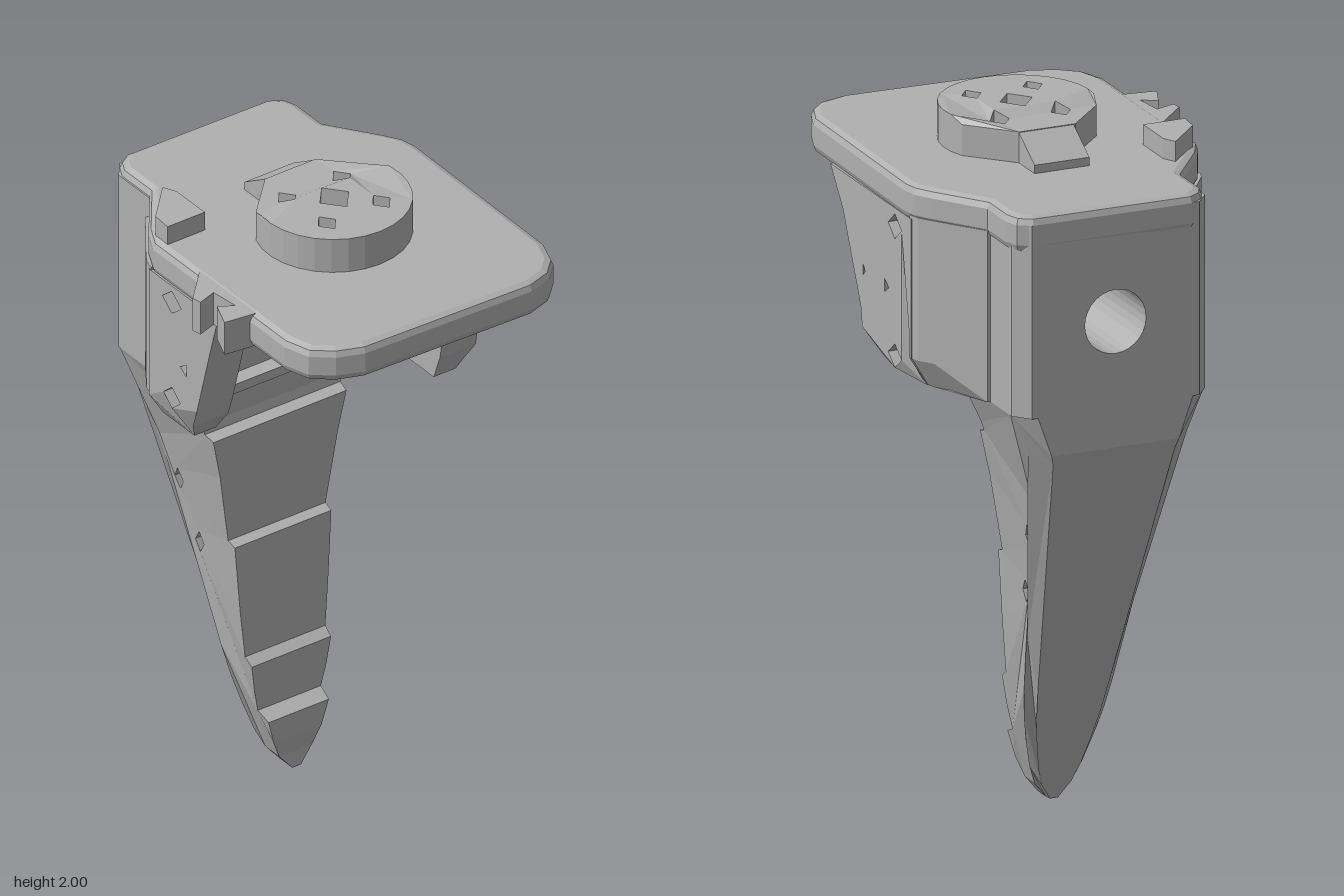
import * as THREE from 'three';

const CX = 0.035; // symmetry line of the bracket
const mirror = (pts) => pts.map(([x, z]) => [2 * CX - x, z]);
const diamond = (u, v, ru, rv) => [[u - ru, v], [u, v + rv], [u + ru, v], [u, v - rv]];

function makeShape(pts, holes, map) {
  const toV = (list) => list.map((p) => new THREE.Vector2(...map(p)));
  const shape = new THREE.Shape(toV(pts));
  for (const h of holes) shape.holes.push(new THREE.Path(toV(h)));
  return shape;
}

// Outline in (x, z), raised from y0 to y1
function extrudeUp(pts, y0, y1, holes = [], { bevel = 0, steps = 1 } = {}) {
  const g = new THREE.ExtrudeGeometry(makeShape(pts, holes, ([x, z]) => [x, -z]), {
    depth: y1 - y0 - 2 * bevel, steps, bevelEnabled: bevel > 0, bevelSegments: 2,
    bevelSize: bevel, bevelThickness: bevel, bevelOffset: -bevel,
  });
  return g.rotateX(-Math.PI / 2).translate(0, y0 + bevel, 0);
}

// Outline in (z, y), extended from x0 to x1
function extrudeSide(pts, x0, x1, holes = []) {
  const g = new THREE.ExtrudeGeometry(makeShape(pts, holes, ([z, y]) => [-z, y]),
    { depth: x1 - x0, bevelEnabled: false });
  return g.rotateY(Math.PI / 2).translate(x0, 0, 0);
}

// Move every vertex by a rule, then refresh the flat normals
function deform(g, rule) {
  const p = g.attributes.position;
  const v = new THREE.Vector3();
  for (let i = 0; i < p.count; i++) {
    v.fromBufferAttribute(p, i);
    rule(v);
    p.setXYZ(i, v.x, v.y, v.z);
  }
  g.computeVertexNormals();
  return g;
}

export function createModel() {
  const model = new THREE.Group();
  model.name = 'fingerBracket';
  const grey = new THREE.MeshStandardMaterial({ color: 0xb0b0b0, flatShading: true });
  grey.name = 'plainGrey';
  const add = (name, geometry) => {
    const mesh = new THREE.Mesh(geometry, grey);
    mesh.name = name;
    model.add(mesh);
    return mesh;
  };

  // Bottle-shaped top plate with a seat for the hub
  const outline = [
    [-0.2, -0.615], [0.29, -0.61], [0.33, -0.585], [0.345, -0.54], [0.345, -0.42], [0.45, -0.27],
    [0.48, -0.22], [0.49, -0.17], [0.48, 0.46], [0.45, 0.54], [0.4, 0.59], [0.32, 0.615],
    [-0.25, 0.6], [-0.33, 0.57], [-0.39, 0.52], [-0.415, 0.44], [-0.415, -0.19],
    [-0.38, -0.26], [-0.26, -0.42], [-0.26, -0.55], [-0.24, -0.59],
  ];
  const seat = [];
  for (let i = 0; i < 20; i++) {
    const a = (i / 20) * Math.PI * 2;
    seat.push([CX + 0.15 * Math.cos(a), 0.055 + 0.15 * Math.sin(a)]);
  }
  add('topPlate', extrudeUp(outline, 1.78, 1.89, [seat], { bevel: 0.025 }));

  // Round hub with a tapering rear, pierced by five holes
  const hub = [];
  for (let i = 0; i <= 18; i++) {
    const a = THREE.MathUtils.degToRad(-22 + (i / 18) * 224);
    hub.push([CX + 0.225 * Math.cos(a), 0.055 + 0.225 * Math.sin(a)]);
  }
  hub.push([-0.05, -0.155], [0.125, -0.155]);
  const hubHoles = [diamond(CX, 0.06, 0.05, 0.06)];
  for (const x of [-0.06, 0.13]) {
    for (const z of [-0.035, 0.155]) hubHoles.push(diamond(x, z, 0.03, 0.038));
  }
  add('hub', deform(extrudeUp(hub, 1.781, 2, hubHoles), (v) => {
    if (v.y > 1.9 && v.z < -0.01) v.y = 1.982;
  }));

  // Sloping wedge behind the hub
  add('hubWedge', extrudeSide([[-0.14, 1.87], [-0.14, 1.982], [-0.155, 1.98], [-0.26, 1.915], [-0.26, 1.87]],
    -0.045, 0.125));

  // Broken clip remains on the right edge of the plate
  add('clipFin', extrudeUp([[-0.39, -0.155], [-0.385, -0.22], [-0.28, -0.33], [-0.26, -0.29], [-0.26, -0.155]],
    1.86, 1.95));
  add('clipHooks', extrudeUp([[-0.38, -0.01], [-0.495, 0.11], [-0.49, 0.14], [-0.43, 0.12], [-0.42, 0.21],
    [-0.465, 0.185], [-0.497, 0.265], [-0.38, 0.28]], 1.78, 1.888));

  // Rear block with a round bore running front to back
  const block = new THREE.Shape([[-0.265, 1.29], [0.335, 1.29], [0.335, 1.865], [-0.265, 1.865]]
    .map((p) => new THREE.Vector2(...p)));
  block.holes.push(new THREE.Path().absarc(CX, 1.545, 0.095, 0, Math.PI * 2, true));
  const blockGeo = new THREE.ExtrudeGeometry(block,
    { depth: 0.39, steps: 8, bevelEnabled: false, curveSegments: 14 }).translate(0, 0, -0.61);
  add('rearBlock', deform(blockGeo, (v) => {
    if (v.z < -0.6 && Math.abs(v.x - CX) > 0.2) v.x -= Math.sign(v.x - CX) * 0.04;
  }));
  add('frontLedge', new THREE.BoxGeometry(0.64, 0.03, 0.06).translate(CX, 1.305, -0.2));

  // Chamfered shoulders and pocketed side walls
  const pullIn = (v) => {
    if (v.y < 1.3 && Math.abs(v.x - CX) > 0.38) v.x -= Math.sign(v.x - CX) * 0.05;
  };
  const shoulder = [[0.3, -0.2], [0.485, -0.2], [0.475, -0.235], [0.445, -0.28], [0.345, -0.42], [0.3, -0.42]];
  const walls = {
    left: [[0.335, 1.79], [0.25, 1.68], [0.13, 1.43], [0.12, 1.37], [0.09, 1.29],
      [-0.21, 1.29], [-0.21, 1.37], [-0.21, 1.79]],
    right: [[0.12, 1.79], [0.08, 1.65], [0.02, 1.43], [0.0, 1.37], [-0.06, 1.29],
      [-0.21, 1.29], [-0.21, 1.37], [-0.21, 1.79]],
  };
  for (const side of ['left', 'right']) {
    const isLeft = side === 'left';
    add(side + 'Shoulder', deform(
      extrudeUp(isLeft ? shoulder : mirror(shoulder), 1.29, 1.8, [], { steps: 6 }), pullIn));
    const holes = [diamond(-0.1, 1.735, 0.045, 0.037), diamond(-0.1, 1.415, 0.04, 0.035),
      [[-0.03, 1.52], [-0.03, 1.56], [-0.06, 1.54]]];
    if (isLeft) {
      holes[1] = diamond(-0.1, 1.35, 0.045, 0.035);
      holes.push([[0.115, 1.525], [0.115, 1.56], [0.1, 1.54]]);
    }
    const [outer0, outer1] = isLeft ? [0.405, 0.485] : [-0.415, -0.335];
    const [inner0, inner1] = isLeft ? [0.36, 0.405] : [-0.335, -0.29];
    add(side + 'Wall', deform(extrudeSide(walls[side], outer0, outer1, holes), (v) => {
      if (Math.abs(v.x - CX) > 0.4) pullIn(v);
    }));
    add(side + 'WallLining', extrudeSide(walls[side], inner0, inner1));
  }

  // Tapering finger: height, front z and half width of each level
  const levels = [
    [1.29, -0.23, 0.3], [1.17, -0.24, 0.247], [1.14, -0.235, 0.236], [1.13, -0.2, 0.232],
    [1.0, -0.205, 0.205], [0.77, -0.215, 0.17], [0.76, -0.185, 0.168], [0.55, -0.18, 0.154],
    [0.39, -0.175, 0.14], [0.37, -0.145, 0.138], [0.28, -0.15, 0.125], [0.21, -0.155, 0.11],
    [0.19, -0.11, 0.105], [0.11, -0.115, 0.083], [0.05, -0.125, 0.057], [0, -0.12, 0.015],
  ];
  const back = (y) => (y >= 1.17 ? -0.61 : -0.195 - (y / 1.17) * 0.415);
  const strip = (y) => back(y) + 0.02 + 0.035 * Math.min(1, y);
  const halfWidth = (y) => {
    for (let i = 1; i < levels.length; i++) {
      const [ya, , wa] = levels[i - 1];
      const [yb, , wb] = levels[i];
      if (y >= yb) return wb + (wa - wb) * (y - yb) / (ya - yb);
    }
    return levels[levels.length - 1][2];
  };
  const between = (f, b) => [...levels.map(f), ...levels.map(b).reverse()];
  const fingerHoles = [diamond(-0.428, 0.875, 0.02, 0.037), diamond(-0.36, 0.69, 0.02, 0.035)];
  const front = between(([y, z]) => [z, y], ([y]) => [strip(y), y]);
  add('finger', deform(extrudeSide(front, -1, 1, fingerHoles), (v) => {
    v.x = CX + v.x * halfWidth(v.y);
  }));
  // Narrower spine that chamfers the back of the finger
  const spine = between(([y]) => [strip(y), y], ([y]) => [back(y), y]);
  add('fingerSpine', deform(extrudeSide(spine, -1, 1), (v) => {
    const atBack = v.z < (strip(v.y) + back(v.y)) / 2;
    v.x = CX + v.x * halfWidth(v.y) * (atBack ? 0.8 : 1);
  }));

  return model;
}
